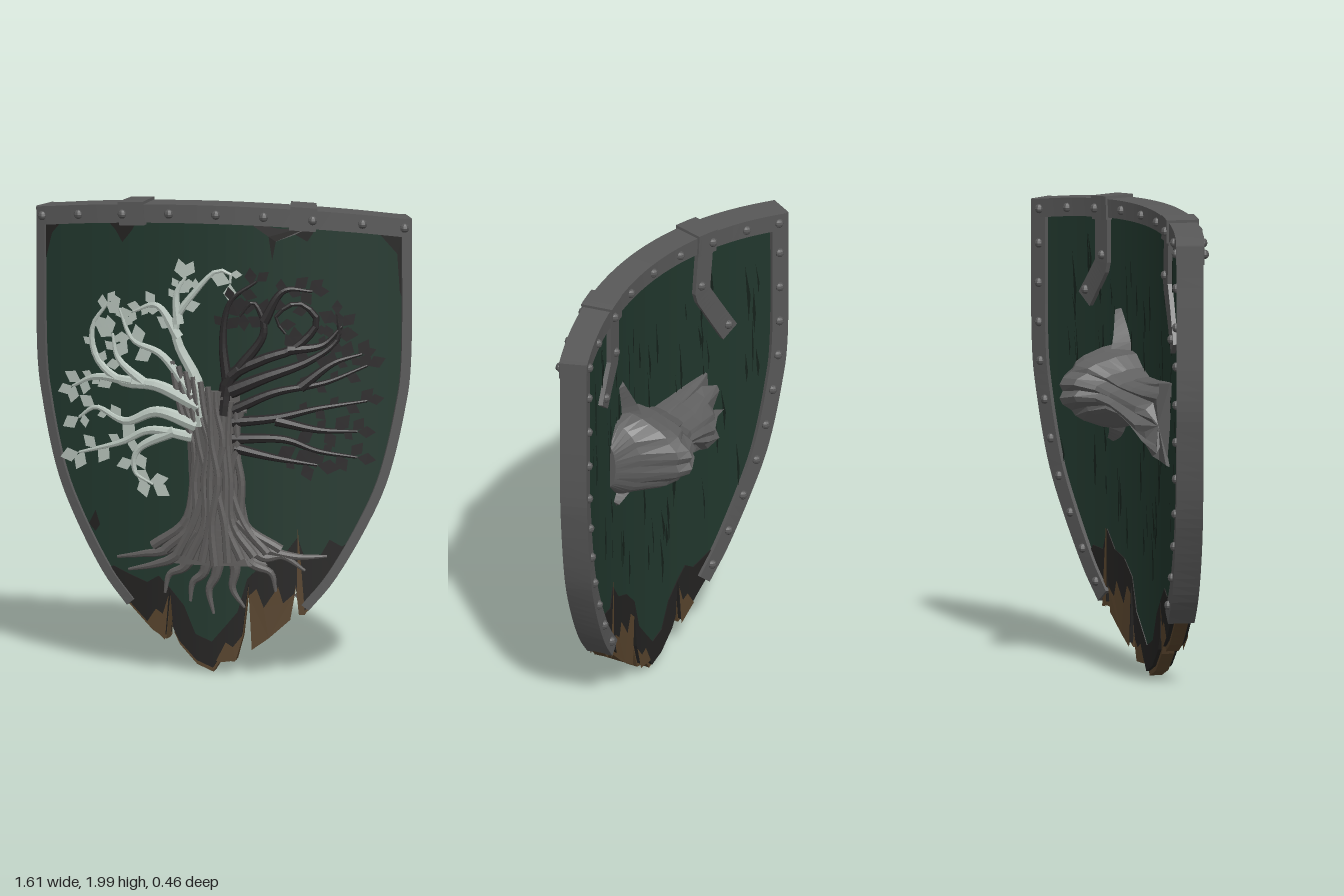
import * as THREE from 'three';

const mat = (name, color) =>
  new THREE.MeshStandardMaterial({ name, color, flatShading: true, side: THREE.DoubleSide });

// Shield curvature: flat (x, y) plus height d above the front face -> bent position
function bend(x, y, d) {
  const s = 0.58 * x, l = Math.hypot(s, 1);
  return new THREE.Vector3(x + d * s / l, y, 0.175 - 0.29 * x * x + d / l);
}

// Piecewise linear function through [x, y] points
const interp = pts => x => {
  if (x <= pts[0][0]) return pts[0][1];
  for (let i = 1; i < pts.length; i++) {
    const [ax, ay] = pts[i - 1], [bx, by] = pts[i];
    if (x <= bx) return ay + (by - ay) * (x - ax) / (bx - ax);
  }
  return pts[pts.length - 1][1];
};

// Skin over closed rings, capped at both ends
function loft(rings) {
  const n = rings[0].length, pos = [], idx = [];
  rings.forEach(r => r.forEach(p => pos.push(p.x, p.y, p.z)));
  for (let i = 0; i < rings.length - 1; i++) for (let j = 0; j < n; j++) {
    const a = i * n + j, b = i * n + (j + 1) % n;
    idx.push(a, b, a + n, b, b + n, a + n);
  }
  for (const i of [0, rings.length - 1]) {
    const c = rings[i].reduce((s, p) => s.add(p), new THREE.Vector3()).divideScalar(n);
    const k = pos.length / 3;
    pos.push(c.x, c.y, c.z);
    for (let j = 0; j < n; j++) {
      const a = i * n + j, b = i * n + (j + 1) % n;
      i ? idx.push(k, a, b) : idx.push(k, b, a);
    }
  }
  const g = new THREE.BufferGeometry();
  g.setAttribute('position', new THREE.Float32BufferAttribute(pos, 3));
  g.setIndex(idx);
  g.computeVertexNormals();
  return g;
}

// Sweep a section [[inset to the right of travel, d], ...] along a flat path
const curveOf = (pts, tension = 0.5) =>
  new THREE.CatmullRomCurve3(pts.map(p => new THREE.Vector3(p[0], p[1], 0)), false, 'catmullrom', tension);
function sweep(pts, section, n = 24, tension = 0.5) {
  const c = curveOf(pts, tension), rings = [];
  for (let i = 0; i <= n; i++) {
    const p = c.getPointAt(i / n), t = c.getTangentAt(i / n);
    rings.push(section(i / n).map(([o, d]) => bend(p.x + t.y * o, p.y - t.x * o, d)));
  }
  return loft(rings);
}

// Tapering round limb lying on the shield
const limb = (pts, r0, r1, flat = 0.8, lift = 0.008, n = 22) => sweep(pts, t => {
  const r = r0 + (r1 - r0) * t;
  return [0, 1, 2, 3, 4, 5, 6, 7].map(k =>
    [r * Math.cos(k * Math.PI / 4), lift + r * flat * Math.sin(k * Math.PI / 4)]);
}, n);

// Thin bent polygon
function patch(pts, d) {
  const g = new THREE.ShapeGeometry(new THREE.Shape(pts.map(p => new THREE.Vector2(...p))));
  const a = g.attributes.position;
  for (let i = 0; i < a.count; i++) {
    const p = bend(a.getX(i), a.getY(i), d);
    a.setXYZ(i, p.x, p.y, p.z);
  }
  g.computeVertexNormals();
  return g;
}

const top = x => 1.99 - 0.1 * x * x;
const bottomPts = [[-.785, 1.35], [-.75, 1.1], [-.69, .83], [-.6, .62], [-.48, .41], [-.385, .27], [-.28, .165],
  [-.22, .13], [-.2, .33], [-.185, .16], [-.16, .11], [-.085, .03], [-.015, 0], [.01, .04], [.08, .05], [.11, .15],
  [.135, .36], [.15, .1], [.22, .15], [.31, .23], [.333, .36], [.345, .25], [.37, .25], [.48, .39], [.6, .6],
  [.69, .82], [.75, 1.1], [.785, 1.35]];
const burnPts = [[-.5, .4], [-.45, .43], [-.38, .4], [-.3, .37], [-.25, .4], [-.2, .35], [-.14, .28], [-.09, .16],
  [-.02, .13], [.04, .2], [.09, .26], [.13, .4], [.2, .47], [.28, .5], [.34, .58], [.37, .49], [.44, .5], [.5, .42]];
const bottom = interp(bottomPts), burnLine = interp(burnPts);
const burn = x => Math.abs(x) < 0.5 ? Math.max(bottom(x), burnLine(x)) : bottom(x);

// Slab of the curved board between two height lines
function slab(x0, x1, lo, hi, d0, d1) {
  const xs = [...bottomPts, ...burnPts].map(p => p[0]);
  for (let i = 0; i <= 40; i++) xs.push(x0 + (x1 - x0) * i / 40);
  return loft(xs.filter(x => x >= x0 && x <= x1).sort((a, b) => a - b).map(x =>
    [bend(x, hi(x), d0), bend(x, lo(x), d0), bend(x, lo(x), d1), bend(x, hi(x), d1)]));
}

export function createModel() {
  const model = new THREE.Group();
  model.name = 'shield';
  const green = mat('greenPaint', 0x21372d), iron = mat('iron', 0x585858), char = mat('charredWood', 0x232221);
  const wood = mat('bareWood', 0x57432c), silver = mat('silverBranch', 0xb6c2ba), bark = mat('greyBark', 0x5d5b5a);
  const dark = mat('darkBranch', 0x292728), cloth = mat('greyCloth', 0x5f5f5f), crack = mat('crack', 0x15211b);
  const add = (name, g, m) => {
    const mesh = new THREE.Mesh(g, m);
    mesh.name = name;
    model.add(mesh);
    return mesh;
  };
  let seed = 7;
  const rnd = () => (seed = (seed * 16807) % 2147483647) / 2147483647;

  // Board, with burnt and broken lower end
  add('paintedBoard', slab(-.785, .785, burn, x => top(x) - .03, 0, -.08), green);
  add('brokenCore', slab(-.5, .5, bottom, burn, -.012, -.068), wood);
  const skin = x => Math.min(bottom(x) + .02, burn(x));
  add('charFront', slab(-.5, .5, skin, burn, .004, -.012), char);
  add('charBack', slab(-.5, .5, skin, burn, -.068, -.084), char);
  const splinters = [
    [[.138, .33], [.15, .1], [.22, .15], [.31, .23], [.325, .34], [.28, .3], [.26, .37], [.2, .28], [.17, .36]],
    [[-.3, .2], [-.22, .13], [-.205, .32], [-.23, .24], [-.26, .26]],
    [[0, .05], [.08, .05], [.11, .16], [.07, .11], [.04, .13]],
    [[.337, .33], [.345, .25], [.37, .25], [.355, .45], [.34, .62]]];
  for (const s of splinters) for (const d of [.007, -.087]) add('splinter', patch(s, d), wood);

  // Scorch marks below the top band and along the edges
  const scorches = [
    [[.12, 1.93], [.43, 1.92], [.38, 1.84], [.33, 1.87], [.25, 1.84], [.235, 1.76], [.22, 1.86]],
    [[-.5, 1.92], [-.33, 1.93], [-.37, 1.86], [-.41, 1.81], [-.44, 1.86]],
    [[.66, 1.88], [.77, 1.87], [.77, 1.55], [.75, 1.62], [.74, 1.78]],
    [[-.77, 1.87], [-.68, 1.88], [-.73, 1.82], [-.76, 1.7]],
    [[-.56, .6], [-.53, .66], [-.51, .6], [-.53, .57]],
    [[.48, .42], [.57, .57], [.52, .54], [.47, .57], [.42, .48]]];
  for (const s of scorches) add('scorchMark', patch(s, .004), char);

  // Vertical cracks on the back
  for (let i = 0; i < 75; i++) {
    const x = -.66 + 1.32 * rnd(), y = .4 + 1.35 * rnd(), h = .05 + .1 * rnd(), w = .004 + .006 * rnd();
    if (y - h > bottom(x) + .1 && y + h < 1.86)
      add('boardCrack', patch([[x, y - h], [x + w, y], [x + .02 * rnd(), y + h], [x - w, y - .02]], -.084), crack);
  }

  // Iron rim: L-section sides, top band and two clamps
  const side = [[-.385, .27], [-.49, .4], [-.61, .61], [-.7, .82], [-.765, 1.1], [-.793, 1.35], [-.795, 1.93]];
  const rimSection = () => [[0, .015], [.038, .015], [.038, -.08], [.075, -.08], [.075, -.098], [0, -.098]];
  add('sideRim', sweep(side, rimSection, 40), iron);
  add('sideRim', sweep(side.map(([x, y]) => [-x, y]).reverse(),
    () => rimSection(), 40), iron);
  const band = (x0, x1, a, b, f, k, n) => sweep(
    Array.from({ length: 9 }, (_, i) => x0 + (x1 - x0) * i / 8).map(x => [x, top(x)]),
    () => [[a, f], [b, f], [b, k], [a, k]], n);
  add('topBand', band(-.795, .795, 0, .078, .02, -.1, 40), iron);
  for (const s of [-1, 1]) {
    add('clamp', band(s * .365 - .055, s * .365 + .055, -.012, .088, .028, -.11, 6), iron);
    const strap = s > 0 ? [[.36, 1.92], [.36, 1.7], [.48, 1.54]] : [[-.36, 1.92], [-.34, 1.7], [-.5, 1.45]];
    add('backStrap', sweep(strap, () => [[-.045, -.075], [.045, -.075], [.045, -.1], [-.045, -.1]], 24, 0), iron);
    for (const [x, y] of strap.slice(1)) rivet(x * .98, y + .04, -.1);
  }

  // Rivets
  function rivet(x, y, d) {
    const m = add('rivet', new THREE.SphereGeometry(.02, 8, 6), iron);
    m.position.copy(bend(x, y, d));
  }
  for (const x of [-.765, -.6, -.4, -.2, 0, .2, .4, .6, .765]) {
    rivet(x, top(x) - .04, Math.abs(x) === .4 ? .028 : .02);
    rivet(x * .98, top(x) - .04, Math.abs(x) === .4 ? -.11 : -.1);
  }
  const rimCurve = curveOf(side);
  for (let i = 0; i < 10; i++) {
    const p = rimCurve.getPointAt(.04 + i * .095), t = rimCurve.getTangentAt(.04 + i * .095);
    for (const s of [-1, 1]) rivet(s * (p.x + t.y * .042), p.y - t.x * .042, -.098);
  }

  // Tree trunk: a flat core wrapped in twisting strands
  add('trunkCore', sweep([[0, .46], [0, .7], [-.01, .95], [-.02, 1.2]], t => {
    const w = .1 + .13 * Math.pow(1 - t, 5) + .02 * t;
    return [[-w, 0], [-w * .6, .03], [0, .04], [w * .6, .03], [w, 0]];
  }), bark);
  for (let i = 0; i < 11; i++) {
    const u = i / 5 - 1, w = .015 * Math.sin(i * 2.3);
    add('trunkStrand', limb([[u * .27, .46 + .07 * Math.abs(u)], [u * .13 + w, .64], [u * .095 - w, .82],
      [u * .095 + w, .98], [u * .13 - .02, 1.12], [u * .16 - .03, 1.22 - .1 * u]],
      .021, .013, .9, .034 - .02 * Math.abs(u)), bark);
  }
  const roots = [
    [[-.09, .64], [-.2, .52], [-.32, .49], [-.43, .47]], [[-.08, .6], [-.17, .49], [-.26, .45], [-.38, .42]],
    [[-.06, .57], [-.13, .45], [-.2, .41], [-.22, .33]], [[-.03, .55], [-.05, .43], [-.1, .38], [-.11, .3]],
    [[.02, .55], [0, .42], [-.03, .35], [-.01, .25]], [[.04, .56], [.08, .45], [.07, .36], [.12, .28]],
    [[.07, .58], [.15, .47], [.23, .43], [.25, .35]], [[.08, .61], [.19, .5], [.28, .5], [.37, .44]],
    [[.09, .65], [.2, .54], [.33, .5], [.46, .5]]];
  for (const r of roots) add('root', limb(r, .034, .006), bark);

  // Branches with leaves: silver on one half, dark on the other
  const silverBranches = [
    [[-.06, 1.05], [-.08, 1.23], [-.16, 1.39], [-.17, 1.5], [-.08, 1.63], [0, 1.71], [.06, 1.7], [.06, 1.66]],
    [[-.07, 1.13], [-.25, 1.21], [-.41, 1.22], [-.52, 1.31], [-.54, 1.44], [-.47, 1.55]],
    [[-.36, 1.22], [-.52, 1.23], [-.63, 1.18]], [[-.1, 1.18], [-.23, 1.34], [-.36, 1.4], [-.42, 1.53]],
    [[-.16, 1.42], [-.25, 1.55], [-.36, 1.52]], [[-.16, 1.48], [-.17, 1.6], [-.13, 1.68]],
    [[-.08, 1.05], [-.25, 1.1], [-.39, 1.05], [-.52, 1.1], [-.6, 1.05]],
    [[-.1, 1.0], [-.28, 1.02], [-.41, .96], [-.6, .9]], [[-.18, 1.02], [-.33, .94], [-.35, .84], [-.27, .79]],
    [[-.3, 1.21], [-.42, 1.31], [-.45, 1.42]]];
  const darkBranches = [
    [[.03, 1.1], [.06, 1.26], [.2, 1.34], [.33, 1.39], [.42, 1.5], [.34, 1.58], [.25, 1.52], [.29, 1.45]],
    [[.05, 1.22], [.03, 1.42], [.06, 1.58], [.17, 1.67]], [[.06, 1.2], [.2, 1.26], [.38, 1.33], [.5, 1.42], [.5, 1.53]],
    [[.07, 1.12], [.25, 1.2], [.45, 1.24], [.62, 1.31]], [[.07, 1.07], [.25, 1.09], [.42, 1.13], [.62, 1.16]],
    [[.07, 1.0], [.28, 1.0], [.42, .95], [.58, .92]], [[.08, .96], [.25, .92], [.42, .89]],
    [[.25, 1.08], [.42, 1.04], [.58, 1.03]], [[.1, 1.3], [.2, 1.45], [.16, 1.58], [.1, 1.52]],
    [[.3, 1.38], [.44, 1.4], [.52, 1.48]], [[.35, 1.22], [.48, 1.32], [.6, 1.36]], [[.2, 1.5], [.28, 1.63], [.4, 1.63]]];
  for (const [name, list, m] of [['silver', silverBranches, silver], ['dark', darkBranches, dark]]) {
    for (const b of list) {
      add(name + 'Branch', limb(b, b.length > 4 ? .032 : .024, .006, .9, .012), m);
      const c = curveOf(b);
      for (let i = 0; i < 6; i++) {
        const t = i ? .4 + .11 * i : 1, p = c.getPointAt(t), v = c.getTangentAt(t);
        const a = Math.atan2(v.y, v.x) + (i ? (i % 2 ? 1 : -1) * (.6 + .5 * rnd()) : 0);
        const l = .05 + .045 * rnd(), w = .35 * l, cx = Math.cos(a), sy = Math.sin(a);
        add(name + 'Leaf', patch([[p.x, p.y], [p.x + cx * l * .5 - sy * w, p.y + sy * l * .5 + cx * w],
          [p.x + cx * l, p.y + sy * l], [p.x + cx * l * .5 + sy * w, p.y + sy * l * .5 - cx * w]], .016), m);
      }
    }
  }

  // Draped hand guard behind the board: [x, centre y, half height, peak z, fold depth]
  const guard = [[.35, 1.18, .1, .03, 0], [.29, 1.19, .17, -.06, .005], [.21, 1.2, .18, -.2, .006], [.16, 1.2, .165, -.235, .006],
    [.09, 1.21, .14, -.2, .01], [.03, 1.2, .1, -.13, .015], [-.04, 1.18, .09, -.095, .02], [-.14, 1.16, .11, -.085, .025],
    [-.25, 1.13, .15, -.07, .03], [-.36, 1.11, .18, -.04, .03]];
  add('handGuard', loft(guard.map(([x, yc, h, zp, fold]) => {
    const base = bend(x, 0, -.075).z;
    return Array.from({ length: 19 }, (_, k) => {
      const a = Math.PI * k / 18, f = 1 - fold * 10 * (k % 3 ? 0 : 1);
      const tear = x < -.3 ? .07 * (k % 4 > 1 ? 1 : 0) : 0;
      return new THREE.Vector3(x + tear, yc + h * Math.cos(a), base + (zp - base) * Math.sin(a) * f);
    });
  })), cloth);
  add('guardTail', sweep([[.19, 1.3], [.2, 1.4], [.25, 1.52]], t =>
    [[-.07 + .04 * t, -.07], [0, -.17 + .07 * t], [.07 - .04 * t, -.07]], 8), cloth);
  add('guardTail', sweep([[.22, 1.1], [.25, 1.02], [.31, .97]], t =>
    [[-.07 + .04 * t, -.07], [0, -.16 + .06 * t], [.07 - .04 * t, -.07]], 8), cloth);
  return model;
}
